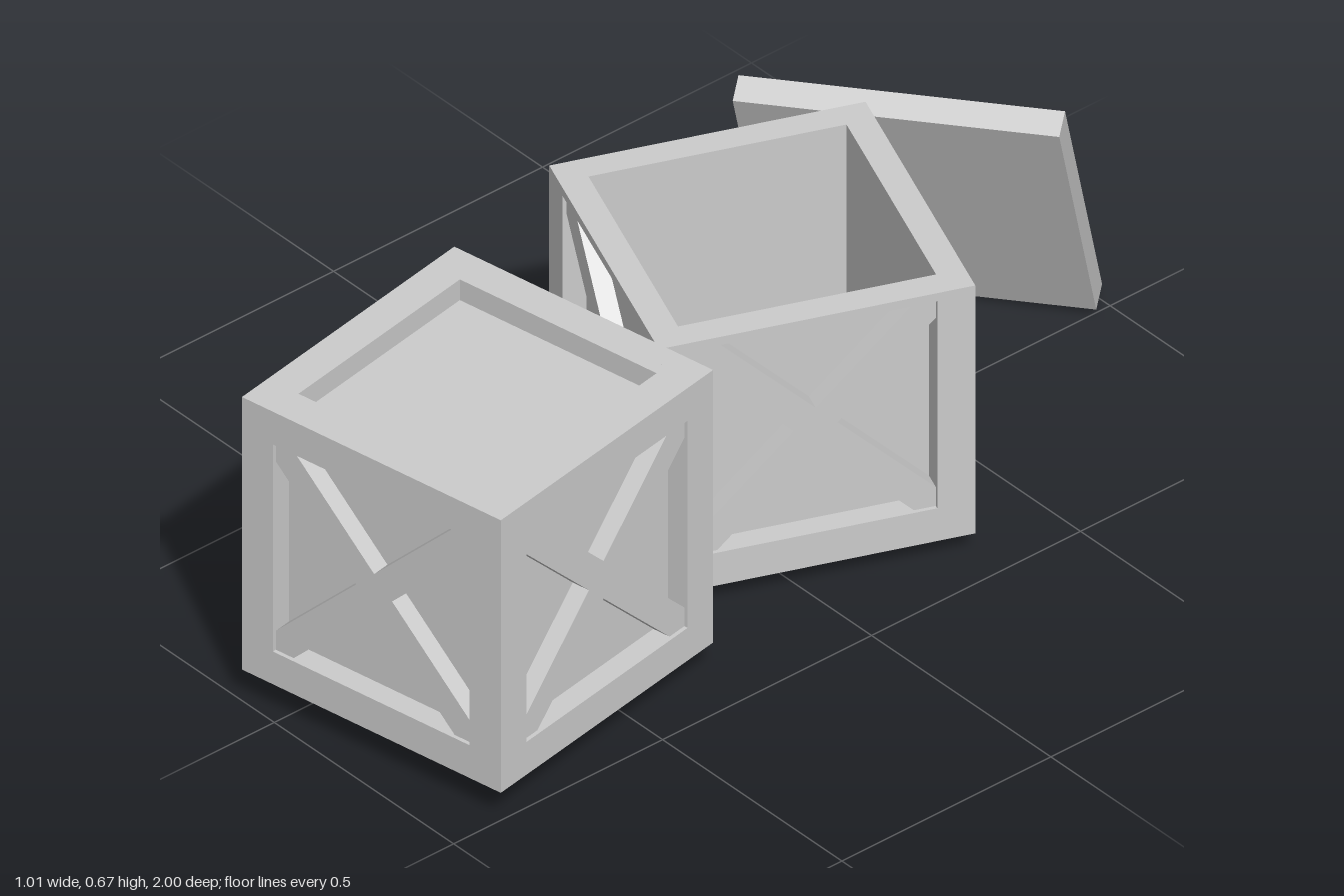
import * as THREE from 'three';

const SIZE = 0.608;      // crate side
const RECESS = 0.046;    // depth of the panels behind the frame
const HOLE = 0.462;      // side of every framed opening
const LID = 0.055;       // lid thickness
const INNER = 0.496;     // inside width of the open crate
const BRACE = 0.042;     // half width of a brace, measured along the frame
const BRACE_DROP = 0.008;
const RAIL = (SIZE - HOLE) / 2;

const material = new THREE.MeshStandardMaterial({ color: 0xcccccc, flatShading: true });

function add(parent, name, geometry, x = 0, y = 0, z = 0) {
  const mesh = new THREE.Mesh(geometry, material);
  mesh.name = name;
  mesh.position.set(x, y, z);
  parent.add(mesh);
  return mesh;
}

const polygon = (points) => points.map(([x, y]) => new THREE.Vector2(x, y));
const rect = (x0, y0, x1, y1) => polygon([[x0, y0], [x1, y0], [x1, y1], [x0, y1]]);
const extrude = (shape, depth) => new THREE.ExtrudeGeometry(shape, { depth, bevelEnabled: false });

// Rectangular plate with a rectangular opening, lying in z = 0..depth
function ring(outer, inner, depth) {
  const shape = new THREE.Shape(outer);
  shape.holes.push(new THREE.Path(inner.slice().reverse()));
  return extrude(shape, depth);
}

function squareRing(outer, inner, depth) {
  const o = outer / 2, i = inner / 2;
  return ring(rect(-o, -o, o, o), rect(-i, -i, i, i), depth);
}

// X-shaped brace reaching into the four corners of an opening
function crossBrace(depth) {
  const a = HOLE / 2, c = BRACE;
  return extrude(new THREE.Shape(polygon([
    [c, 0], [a, a - c], [a, a], [a - c, a],
    [0, c], [-a + c, a], [-a, a], [-a, a - c],
    [-c, 0], [-a, -a + c], [-a, -a], [-a + c, -a],
    [0, -c], [a - c, -a], [a, -a], [a, -a + c],
  ])), depth);
}

// Crate standing on its own y = 0
function makeCrate(name, open) {
  const crate = new THREE.Group();
  crate.name = name;
  const half = SIZE / 2;
  const height = open ? SIZE - LID : SIZE;
  const core = SIZE - 2 * RECESS;

  // four framed sides, each overlapping the next at one corner
  for (let i = 0; i < 4; i++) {
    const side = new THREE.Group();
    side.name = 'side' + (i + 1);
    side.rotation.y = i * Math.PI / 2;
    add(side, 'sideFrame', ring(
      rect(-half, 0, half - RECESS, height),
      rect(-HOLE / 2, RAIL, HOLE / 2, RAIL + HOLE), RECESS), 0, 0, half - RECESS);
    add(side, 'crossBrace', crossBrace(RECESS - BRACE_DROP), 0, RAIL + HOLE / 2, half - RECESS);
    crate.add(side);
  }

  // bottom frame around its recessed panel
  const bottom = add(crate, 'bottomFrame', squareRing(core, HOLE, RECESS), 0, RECESS, 0);
  bottom.rotation.x = Math.PI / 2;

  if (open) {
    const wall = add(crate, 'innerWalls', squareRing(core, INNER, height - RECESS), 0, height, 0);
    wall.rotation.x = Math.PI / 2;
    add(crate, 'floor', new THREE.BoxGeometry(INNER, 0.012, INNER), 0, RECESS + 0.006, 0);
  } else {
    add(crate, 'panels', new THREE.BoxGeometry(core, SIZE - 2 * RECESS, core), 0, half, 0);
    const top = add(crate, 'topFrame', squareRing(core, HOLE, RECESS), 0, SIZE, 0);
    top.rotation.x = Math.PI / 2;
  }
  return crate;
}

// Lid upright in the xy plane, its framed outer face towards -z
function makeLid() {
  const lid = new THREE.Group();
  lid.name = 'lid';
  const panel = LID - RECESS;
  add(lid, 'lidFrame', squareRing(SIZE, HOLE, RECESS), 0, 0, -LID / 2);
  add(lid, 'lidPanel', new THREE.BoxGeometry(SIZE, SIZE, panel), 0, 0, (LID - panel) / 2);
  return lid;
}

export function createModel() {
  const model = new THREE.Group();
  model.name = 'crates';
  const deg = THREE.MathUtils.degToRad;

  const closed = makeCrate('closedCrate', false);
  closed.position.set(0.153, 0.07, 0.645);
  closed.rotation.y = deg(10);

  const open = makeCrate('openCrate', true);
  open.position.set(0.031, 0.046, -0.141);
  open.rotation.y = deg(-21.5);

  // lid leaning against the open crate
  const lid = makeLid();
  lid.position.set(-0.182, 0.3, -0.695);
  lid.rotation.set(deg(24), deg(37.3), deg(1.5), 'YXZ');

  model.add(closed, open, lid);
  return model;
}
